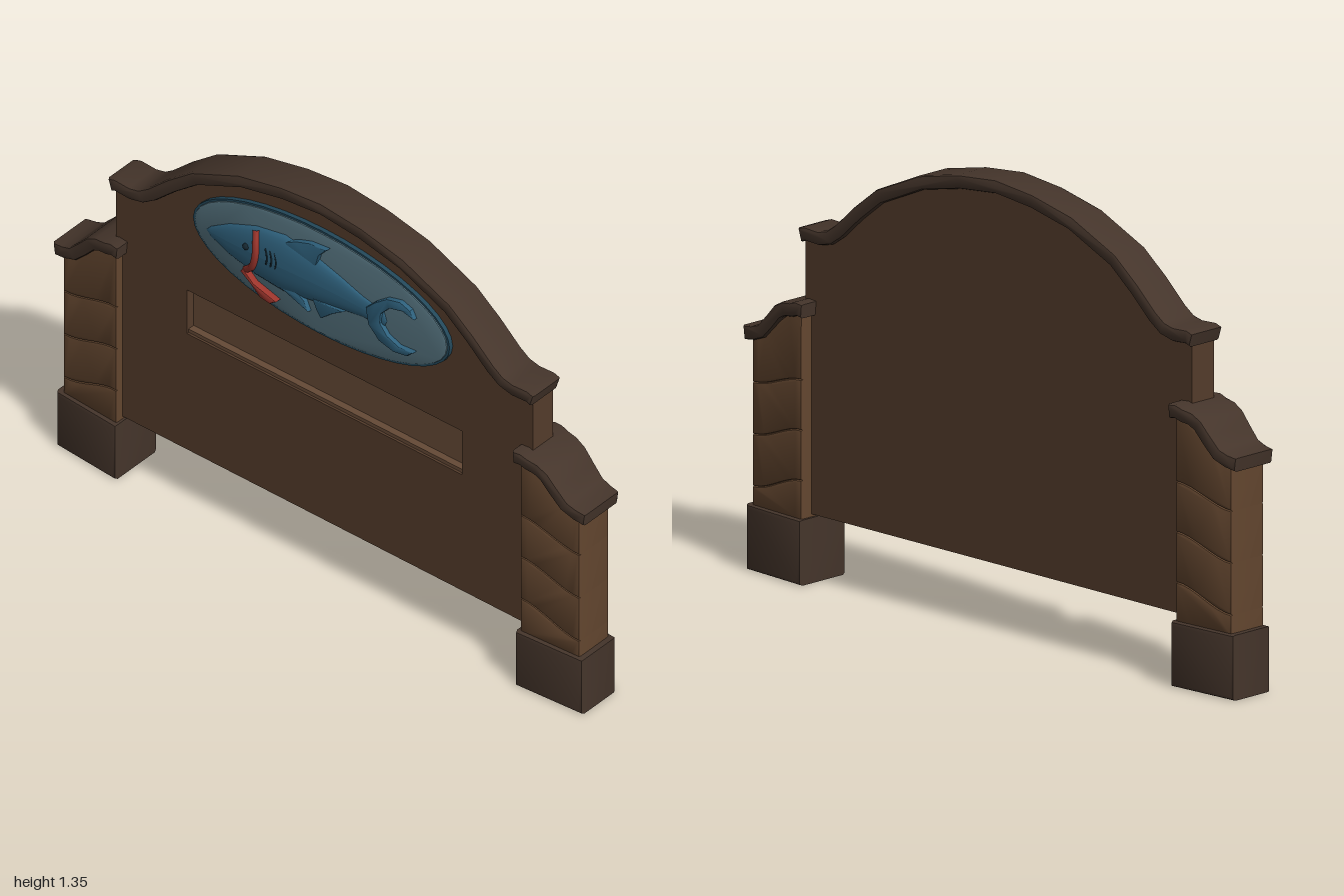
import * as THREE from 'three';
import { toCreasedNormals } from 'three/addons/utils/BufferGeometryUtils.js';

const mat = (color) => new THREE.MeshStandardMaterial({ color, roughness: 0.9 });
const MAT = {
  panel: mat(0x543c2b), recess: mat(0x654a36), trim: mat(0x45352b), stone: mat(0x63462f),
  groove: mat(0x352519), plaque: mat(0x567480), rim: mat(0x23485a), shark: mat(0x2f627e),
  dark: mat(0x15262f), red: mat(0x9c352c),
};
const shapeOf = (pts) => new THREE.Shape(pts.map(([x, y]) => new THREE.Vector2(x, y)));

// Extrudes a shape between two depths; the bevel stays inside the outline
function slab(shape, z0, z1, bevel = 0, segments = 2) {
  const g = new THREE.ExtrudeGeometry(shape, {
    depth: z1 - z0 - 2 * bevel, bevelEnabled: bevel > 0, bevelSize: bevel, bevelOffset: -bevel,
    bevelThickness: bevel, bevelSegments: segments, curveSegments: 20,
  });
  g.translate(0, 0, z0 + bevel);
  return toCreasedNormals(g, 0.6);
}

function add(parent, name, geometry, material) {
  const m = new THREE.Mesh(geometry, material);
  m.name = name;
  parent.add(m);
  return m;
}

// Band of even thickness hanging below a line of points
function band(pts, t) {
  const under = pts.map(([x, y], i) => {
    const a = pts[Math.max(i - 1, 0)], b = pts[Math.min(i + 1, pts.length - 1)];
    const dx = b[0] - a[0], dy = b[1] - a[1], l = Math.hypot(dx, dy) * Math.sign(dx);
    return [x + dy / l * t, y - dx / l * t];
  });
  return shapeOf([...pts, ...under.reverse()]);
}

// Pillars are deeper on their inner side and shifted slightly back
function taper(g) {
  const p = g.attributes.position;
  for (let i = 0; i < p.count; i++) {
    const k = 1 - (Math.abs(p.getX(i)) - 0.74) * 0.8;
    p.setZ(i, p.getZ(i) * k - 0.005);
  }
  return toCreasedNormals(g, 0.6);
}

function pillar(s) {
  const g = new THREE.Group();
  g.name = s > 0 ? 'leftPillar' : 'rightPillar';
  const flip = (pts) => pts.map(([x, y]) => [s * x, y]);
  const box = (x0, x1, y0, y1) => shapeOf(flip([[x0, y0], [x1, y0], [x1, y1], [x0, y1]]));
  add(g, 'base', taper(slab(box(0.75, 0.988, 0, 0.195), -0.095, 0.095, 0.012)), MAT.trim);
  add(g, 'core', taper(slab(box(0.768, 0.958, 0.18, 0.69), -0.068, 0.068)), MAT.groove);

  // Courses of stone with wavy joints
  const wave = (y, rise) => Array.from({ length: 9 }, (_, i) => {
    const t = i / 8;
    return [0.97 - 0.212 * t, y + rise * t * t * (3 - 2 * t)];
  });
  const joints = [[0.19, 0.0], [0.25, 0.06], [0.405, 0.055], [0.56, 0.05], [0.7, 0.115]];
  for (let i = 0; i < 4; i++) {
    const outline = [...wave(...joints[i]), ...wave(...joints[i + 1]).reverse()];
    add(g, 'stoneCourse', taper(slab(shapeOf(flip(outline)), -0.081, 0.081, 0.008)), MAT.stone);
  }
  const cap = [[1, 0.725], [0.965, 0.73], [0.935, 0.74], [0.9, 0.775], [0.865, 0.812],
    [0.83, 0.83], [0.795, 0.835], [0.77, 0.843], [0.74, 0.84]];
  add(g, 'cap', taper(slab(band(flip(cap), 0.042), -0.097, 0.097, 0.01)), MAT.trim);
  return g;
}

function emblem() {
  const g = new THREE.Group();
  g.name = 'emblem';
  const oval = (rx, ry) => new THREE.Shape().absellipse(0, 1.066, rx, ry, 0, Math.PI * 2);
  add(g, 'plaqueRim', slab(oval(0.482, 0.187), 0.03, 0.06), MAT.rim);
  add(g, 'plaque', slab(oval(0.474, 0.18), 0.04, 0.064, 0.004), MAT.plaque);

  // Fish body: squashed lathe lying along x
  const profile = [[-0.428, 0], [-0.41, 0.018], [-0.34, 0.054], [-0.24, 0.086], [-0.13, 0.101],
    [-0.02, 0.082], [0.08, 0.057], [0.16, 0.036], [0.24, 0.028], [0.25, 0]];
  const body = new THREE.LatheGeometry(profile.map(([x, r]) => new THREE.Vector2(r, x)), 24);
  body.rotateZ(-Math.PI / 2).scale(1, 1, 0.28).translate(0, 1.062, 0.064);
  const p = body.attributes.position;
  for (let i = 0; i < p.count; i++) { // back arches towards the middle
    p.setY(i, p.getY(i) + 0.022 * Math.cos(p.getX(i) * 5 + 0.4) - 0.008);
  }
  body.computeVertexNormals();
  add(g, 'sharkBody', body, MAT.shark);

  const fin = (name, pts) => add(g, name, slab(shapeOf(pts), 0.055, 0.079, 0.005), MAT.shark);
  fin('dorsalFin', [[-0.14, 1.15], [-0.08, 1.185], [-0.03, 1.203], [0.037, 1.21], [0.005, 1.175], [-0.01, 1.12]]);
  fin('pectoralFin', [[-0.2, 1.0], [-0.12, 0.982], [-0.035, 0.952], [-0.05, 0.985], [-0.1, 1.02]]);
  fin('pelvicFin', [[-0.02, 1.01], [-0.005, 0.975], [0.012, 0.952], [0.05, 0.985], [0.1, 1.02]]);
  fin('tailFin', [[0.18, 1.075], [0.215, 1.11], [0.26, 1.145], [0.31, 1.158], [0.348, 1.145], [0.362, 1.118],
    [0.32, 1.128], [0.27, 1.115], [0.238, 1.08], [0.235, 1.045], [0.262, 1.012], [0.305, 0.995], [0.362, 1.0],
    [0.335, 0.975], [0.285, 0.966], [0.23, 0.98], [0.19, 1.02]]);

  // Eye and gills
  const eye = add(g, 'eye', new THREE.SphereGeometry(0.011, 12, 8), MAT.dark);
  eye.position.set(-0.262, 1.082, 0.084);
  for (let i = 0; i < 3; i++) {
    const x = -0.188 + i * 0.017;
    const c = new THREE.QuadraticBezierCurve3(new THREE.Vector3(x, 1.112, 0.087),
      new THREE.Vector3(x + 0.016, 1.085, 0.093), new THREE.Vector3(x + 0.004, 1.058, 0.089));
    add(g, 'gill', new THREE.TubeGeometry(c, 8, 0.003, 5), MAT.dark);
  }

  // Neckerchief: curved strap and a loose tail
  const strap = new THREE.CatmullRomCurve3([[-0.232, 1.15, 0.074], [-0.222, 1.11, 0.088], [-0.222, 1.07, 0.091],
    [-0.24, 1.02, 0.085], [-0.275, 0.985, 0.07]].map((v) => new THREE.Vector3(...v)));
  add(g, 'neckerchief', new THREE.TubeGeometry(strap, 20, 0.011, 8), MAT.red);
  add(g, 'neckerchiefTail', slab(shapeOf([[-0.275, 0.995], [-0.235, 0.96], [-0.15, 0.935], [-0.175, 0.917],
    [-0.21, 0.922], [-0.245, 0.953], [-0.285, 0.982]]), 0.06, 0.085, 0.004), MAT.red);
  return g;
}

export function createModel() {
  const model = new THREE.Group();
  model.name = 'sign';

  // Arched top line, mirrored about the centre
  const half = [[-0.8, 1.05], [-0.775, 1.058], [-0.72, 1.055], [-0.685, 1.063], [-0.65, 1.087], [-0.575, 1.155],
    [-0.485, 1.225], [-0.31, 1.302], [-0.15, 1.337], [0, 1.352]];
  const arch = [...half, ...half.slice(0, -1).reverse().map(([x, y]) => [-x, y])];

  // Panel: solid back and a front layer with a slot
  const outline = [[-0.783, 0.203], [0.783, 0.203],
    ...arch.map(([x, y]) => [THREE.MathUtils.clamp(x, -0.783, 0.783), y - 0.025]).reverse()];
  add(model, 'panelBack', slab(shapeOf(outline), -0.042, 0.012), MAT.panel);
  const front = shapeOf(outline);
  const slot = (w, y0, y1) => [[-w, y0], [-w, y1], [w, y1], [w, y0]].map(([x, y]) => new THREE.Vector2(x, y));
  front.holes.push(new THREE.Path(slot(0.517, 0.62, 0.777)));
  add(model, 'panelFront', slab(front, 0.012, 0.046), MAT.panel);
  const face = add(model, 'slotFace', new THREE.BoxGeometry(1.034, 0.157, 0.006), MAT.recess);
  face.position.set(0, 0.6985, 0.013);
  const sill = add(model, 'slotSill', new THREE.BoxGeometry(1.034, 0.012, 0.025), MAT.recess);
  sill.position.set(0, 0.626, 0.026);

  add(model, 'archTrim', slab(band(arch, 0.042), -0.06, 0.066, 0.01), MAT.trim);
  model.add(emblem(), pillar(1), pillar(-1));
  return model;
}
